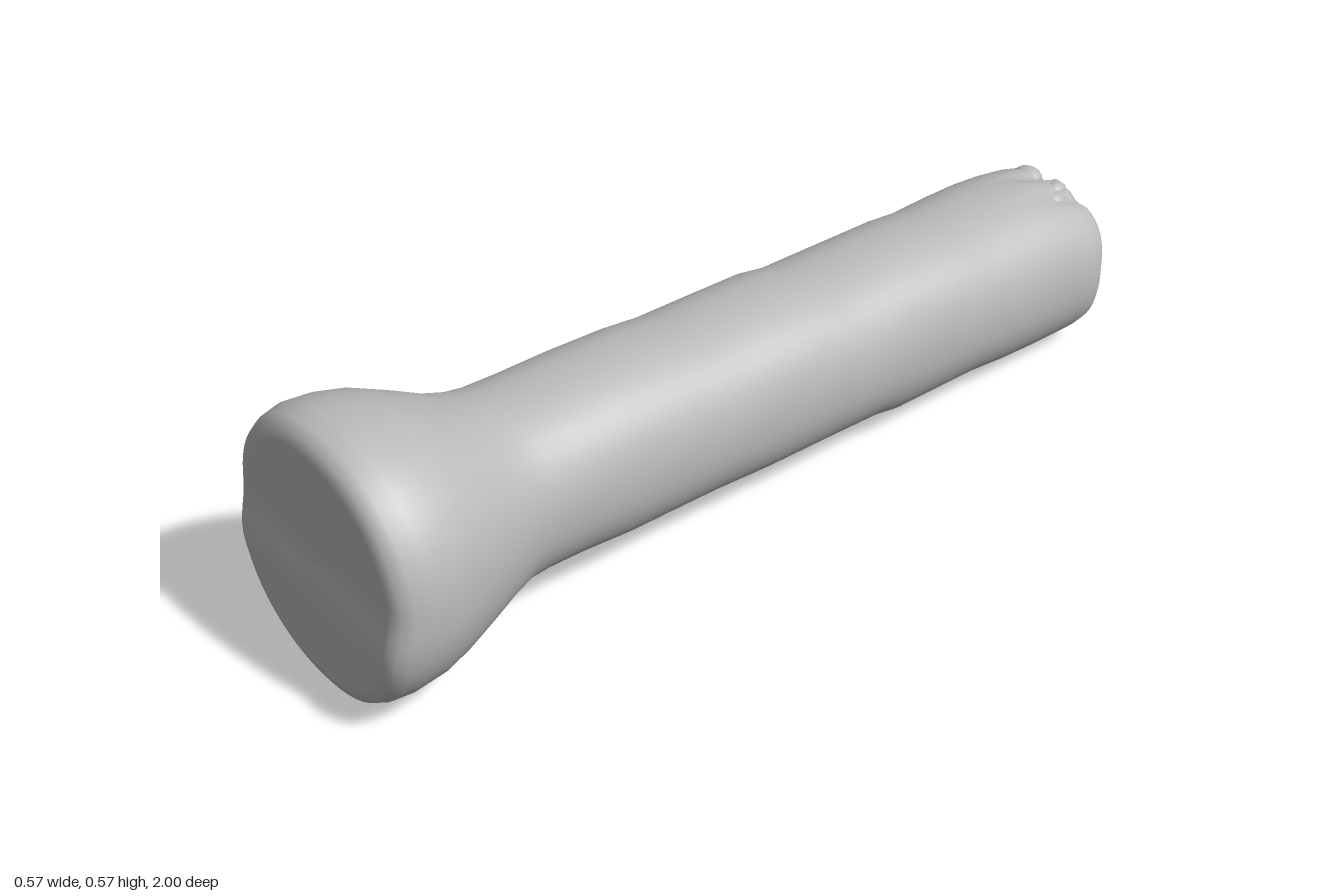
import * as THREE from 'three';

const grey = new THREE.MeshStandardMaterial({ color: 0xbababa });
grey.name = 'plain grey';

// Cross-sections: z, top y, bottom y, half width
const sections = [
  [0.99, 0.53, 0.035, 0.245], [0.982, 0.555, 0.015, 0.266], [0.96, 0.567, 0.006, 0.278],
  [0.92, 0.574, 0.003, 0.285], [0.86, 0.569, 0.008, 0.28], [0.8, 0.553, 0.025, 0.265],
  [0.73, 0.52, 0.048, 0.238], [0.66, 0.484, 0.072, 0.209], [0.61, 0.468, 0.084, 0.192],
  [0.56, 0.459, 0.086, 0.188], [0.48, 0.456, 0.082, 0.187], [0.36, 0.456, 0.069, 0.187],
  [0.22, 0.449, 0.065, 0.187], [0.13, 0.437, 0.063, 0.187], [0, 0.435, 0.052, 0.187],
  [-0.14, 0.431, 0.047, 0.187], [-0.21, 0.417, 0.046, 0.187], [-0.32, 0.415, 0.041, 0.187],
  [-0.38, 0.415, 0.028, 0.187], [-0.52, 0.411, 0.026, 0.188], [-0.6, 0.4, 0.026, 0.19],
  [-0.7, 0.397, 0.012, 0.194], [-0.8, 0.395, 0.005, 0.195], [-0.87, 0.388, 0.004, 0.195],
  [-0.93, 0.376, 0.005, 0.195], [-0.965, 0.366, 0.008, 0.19], [-0.983, 0.35, 0.018, 0.178],
  [-0.99, 0.333, 0.035, 0.162],
];

const SIDES = 64;
const step = THREE.MathUtils.smoothstep;

function bodyGeometry() {
  const pos = [], index = [];
  let rings = 0;

  function addRing([z, top, bottom, half], scale = 1) {
    const cy = (top + bottom) / 2, cx = -0.008 * step(-z, 0.55, 0.75);
    for (let j = 0; j < SIDES; j++) {
      const a = (j / SIDES) * Math.PI * 2, c = Math.cos(a), s = Math.sin(a);
      const k = Math.pow(Math.abs(c) ** 2.2 + Math.abs(s) ** 2.2, -1 / 2.2) * scale;
      const x = cx + half * c * k;
      let y = cy + ((top - bottom) / 2) * s * k;
      // both end faces are stepped: the upper half sits further back
      const end = step(Math.abs(z), 0.86, 0.97);
      const limits = z > 0 ? [0.2, 0.32] : [0.19, 0.31];
      const shift = end * (0.01 - 0.02 * step(y, ...limits));
      // creases pressed into the top of the tail
      const crease = Math.exp(-(((x + 0.025) / 0.018) ** 2)) + 0.8 * Math.exp(-(((x - 0.07) / 0.02) ** 2));
      y -= 0.022 * crease * step(-z, 0.86, 0.95) * step(y, 0.28, 0.36);
      pos.push(x, y, z + shift);
    }
    rings++;
  }

  const first = sections[0], last = sections[sections.length - 1];
  const inner = [0.01, 0.15, 0.3, 0.45, 0.6, 0.75, 0.88, 0.96];
  inner.forEach((s) => addRing(first, s));
  sections.forEach((s) => addRing(s));
  [...inner].reverse().forEach((s) => addRing(last, s));

  for (let i = 0; i < rings - 1; i++) {
    for (let j = 0; j < SIDES; j++) {
      const k = (j + 1) % SIDES;
      const a = i * SIDES + j, b = i * SIDES + k, c = a + SIDES, d = b + SIDES;
      index.push(a, c, b, b, c, d);
    }
  }
  // close the tiny holes at both centres
  const e = (rings - 1) * SIDES;
  for (let j = 1; j < SIDES - 1; j++) index.push(0, j, j + 1, e, e + j + 1, e + j);

  const g = new THREE.BufferGeometry();
  g.setAttribute('position', new THREE.Float32BufferAttribute(pos, 3));
  g.setIndex(index);
  g.computeVertexNormals();
  return g;
}

export function createModel() {
  const group = new THREE.Group();
  group.name = 'torch';

  // Flared head and handle in one skin
  const body = new THREE.Mesh(bodyGeometry(), grey);
  body.name = 'body';
  group.add(body);

  // Small crumpled lumps on top of the tail: x, y, z, size x, y, z
  const lumps = [
    [0.03, 0.352, -0.955, 0.022, 0.022, 0.03], [0.045, 0.345, -0.93, 0.03, 0.022, 0.03],
    [-0.065, 0.345, -0.968, 0.035, 0.022, 0.03], [0.01, 0.345, -0.975, 0.016, 0.02, 0.02],
  ];
  const ball = new THREE.SphereGeometry(1, 16, 12);
  for (const [x, y, z, sx, sy, sz] of lumps) {
    const lump = new THREE.Mesh(ball, grey);
    lump.name = 'tailLump';
    lump.position.set(x, y, z);
    lump.scale.set(sx, sy, sz);
    group.add(lump);
  }
  return group;
}
